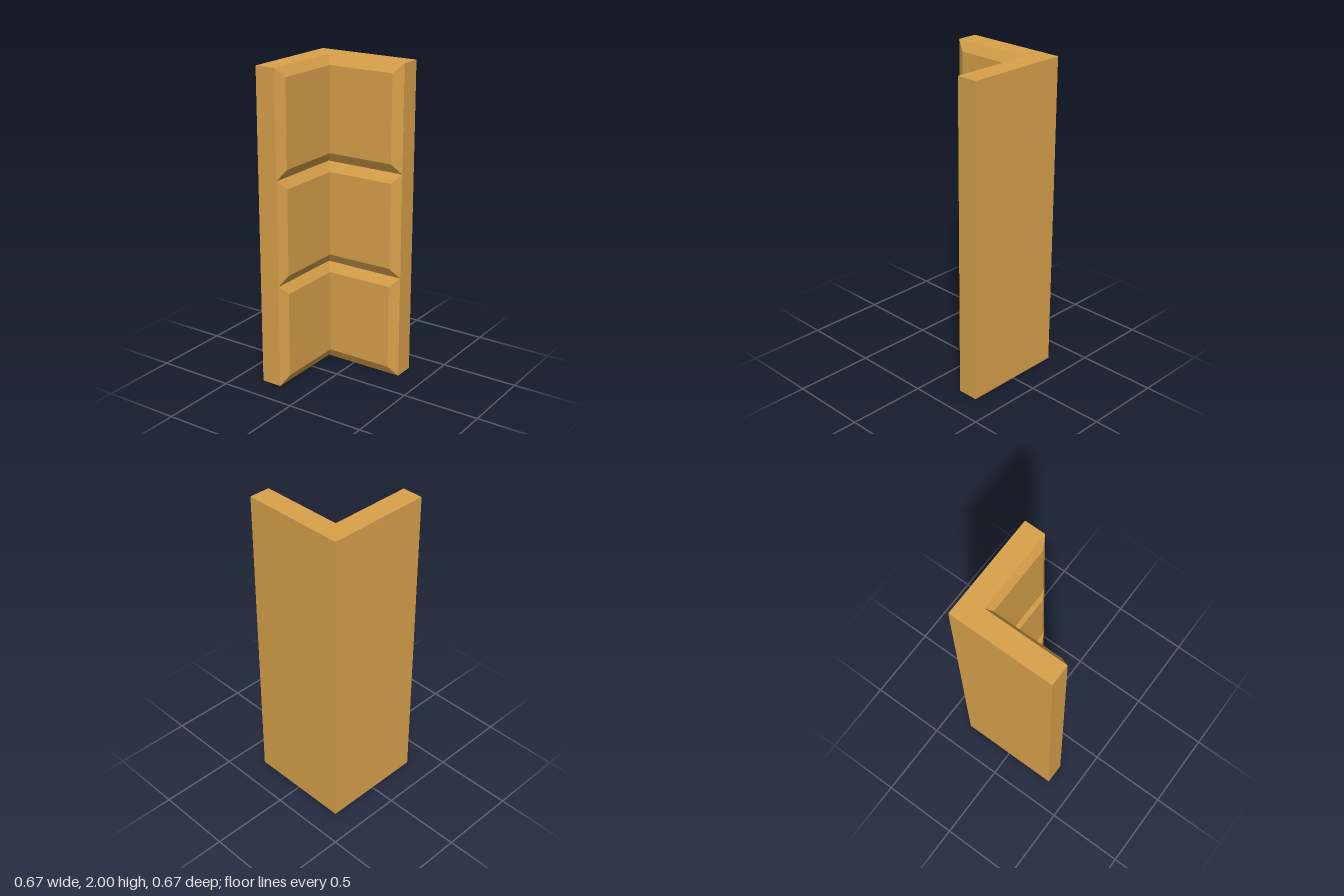
import * as THREE from 'three';

const HALF = 1 / 3;       // half width of the corner piece
const INNER = -0.2;       // inner wall plane
const RAISE = 0.033;      // how far the panels stand out
const BEVEL = 0.06;       // bevel width along the panel edges
const HEIGHT = 2;
const ROWS = 3;

// One bevelled panel on the back wall; swapped, it lies on the side wall.
// The edge at the inner corner is mitred against its neighbour.
function panelGeometry(y0, y1, swap) {
  const ring = (start, end, low, high, depth) =>
    [[start, low], [end, low], [end, high], [start, high]].map(([a, y]) =>
      swap ? [depth, y, a] : [a, y, depth]);
  const points = [
    ...ring(INNER, HALF, y0, y1, INNER),
    ...ring(INNER + RAISE, HALF - BEVEL, y0 + BEVEL, y1 - BEVEL, INNER + RAISE),
  ];
  // face, lower bevel, outer bevel, upper bevel
  const quads = [[4, 5, 6, 7], [0, 1, 5, 4], [1, 2, 6, 5], [2, 3, 7, 6]];
  const index = quads.flatMap(([a, b, c, d]) =>
    swap ? [a, c, b, a, d, c] : [a, b, c, a, c, d]);
  const indexed = new THREE.BufferGeometry();
  indexed.setAttribute('position', new THREE.Float32BufferAttribute(points.flat(), 3));
  indexed.setIndex(index);
  const geometry = indexed.toNonIndexed();
  geometry.computeVertexNormals();
  return geometry;
}

export function createModel() {
  const model = new THREE.Group();
  model.name = 'cornerPillar';
  const wood = new THREE.MeshStandardMaterial({ color: 0xd9a24b, flatShading: true });

  const add = (name, geometry) => {
    const mesh = new THREE.Mesh(geometry, wood);
    mesh.name = name;
    model.add(mesh);
  };

  // L-shaped wall, drawn with shape y = -z and extruded upward
  const outline = new THREE.Shape([
    [-HALF, -HALF], [INNER, -HALF], [INNER, -INNER],
    [HALF, -INNER], [HALF, HALF], [-HALF, HALF],
  ].map(([x, y]) => new THREE.Vector2(x, y)));
  const wall = new THREE.ExtrudeGeometry(outline, { depth: HEIGHT, bevelEnabled: false });
  wall.rotateX(-Math.PI / 2);
  add('cornerWall', wall);

  // Raised panels, stacked on both inner walls
  const step = HEIGHT / ROWS;
  for (let i = 0; i < ROWS; i++) {
    add(`backPanel${i + 1}`, panelGeometry(i * step, (i + 1) * step, false));
    add(`sidePanel${i + 1}`, panelGeometry(i * step, (i + 1) * step, true));
  }
  return model;
}
